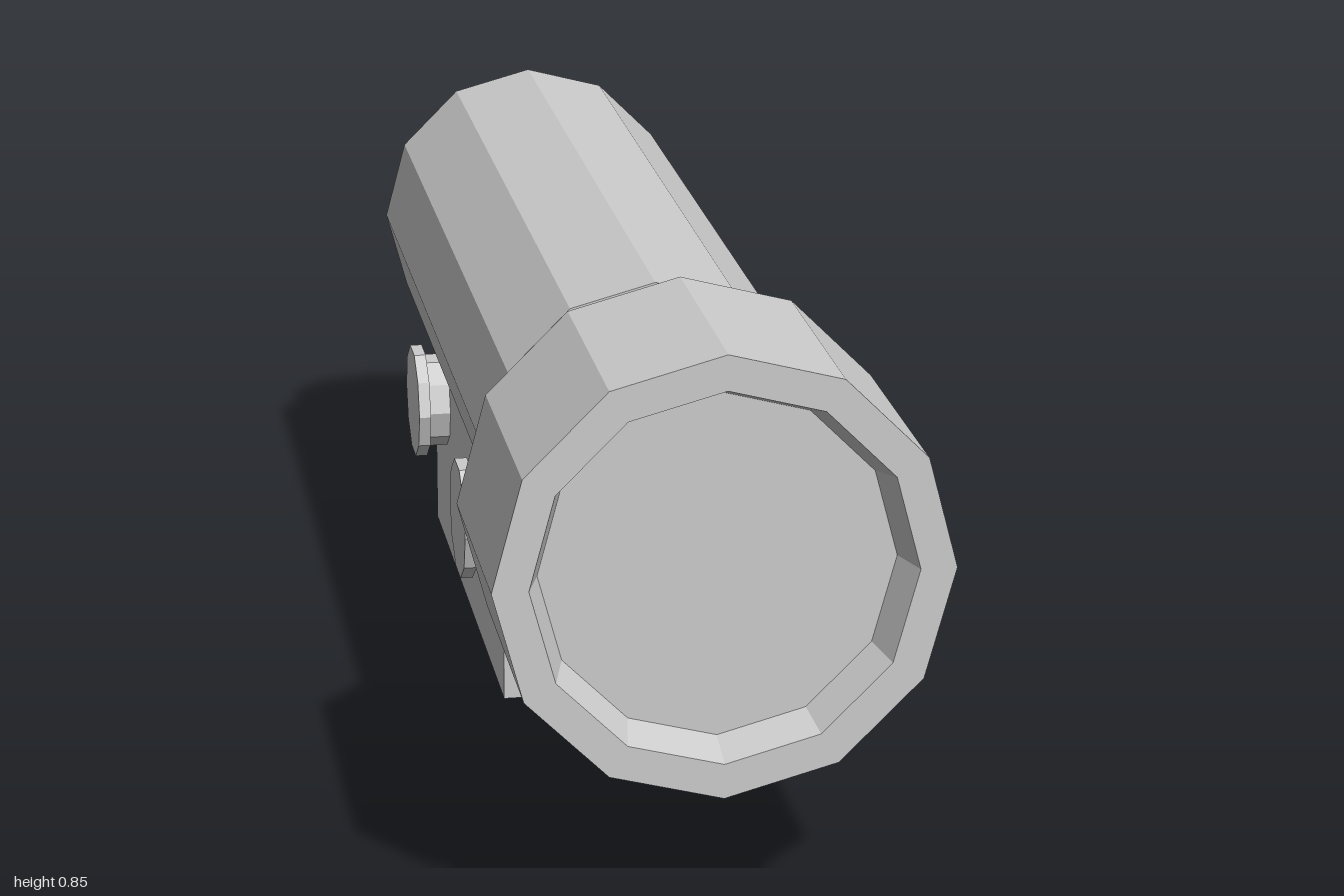
import * as THREE from 'three';

const material = new THREE.MeshStandardMaterial({ color: 0xcccccc, flatShading: true });

function addMesh(parent, name, geometry, x, y, z) {
  const mesh = new THREE.Mesh(geometry, material);
  mesh.name = name;
  mesh.position.set(x, y, z);
  parent.add(mesh);
  return mesh;
}

// Twelve-sided part turned around the z axis; profile points are [radius, z]
function turned(profile) {
  const points = profile.map(([r, z]) => new THREE.Vector2(r, z));
  return new THREE.LatheGeometry(points, 12).rotateX(Math.PI / 2);
}

// Ten-sided disc lying along the x axis
function disc(radius, width) {
  return new THREE.CylinderGeometry(radius, radius, width, 10).rotateZ(Math.PI / 2);
}

export function createModel() {
  const model = new THREE.Group();
  model.name = 'flashlight';
  const axisY = 0.527;

  // Tail cap, barrel and neck
  addMesh(model, 'barrel', turned([
    [0, -1], [0.226, -1], [0.226, -0.895], [0.257, -0.895],
    [0.257, 0.425], [0.232, 0.425], [0.232, 0.515],
  ]), 0, axisY, 0);

  // Flared head with the recessed opening
  addMesh(model, 'head', turned([
    [0.232, 0.515], [0.327, 0.63], [0.327, 1], [0.275, 1], [0.255, 0.94],
  ]), 0, axisY, 0);
  addMesh(model, 'lens', turned([[0.255, 0.94], [0, 0.94]]), 0, axisY, 0);

  // Mounting block under the barrel
  addMesh(model, 'mountBlock', new THREE.BoxGeometry(0.378, 0.367, 0.866), 0, 0.1835, -0.323);

  // Two stepped screws on each side
  for (const side of [1, -1]) {
    for (const z of [-0.02, -0.627]) {
      const screw = new THREE.Group();
      screw.name = 'screw';
      screw.position.set(0, 0.265, z);
      addMesh(screw, 'screwCollar', disc(0.08, 0.055), side * 0.1975, 0, 0);
      addMesh(screw, 'screwHead', disc(0.097, 0.02), side * 0.235, 0, 0);
      model.add(screw);
    }
  }
  return model;
}
